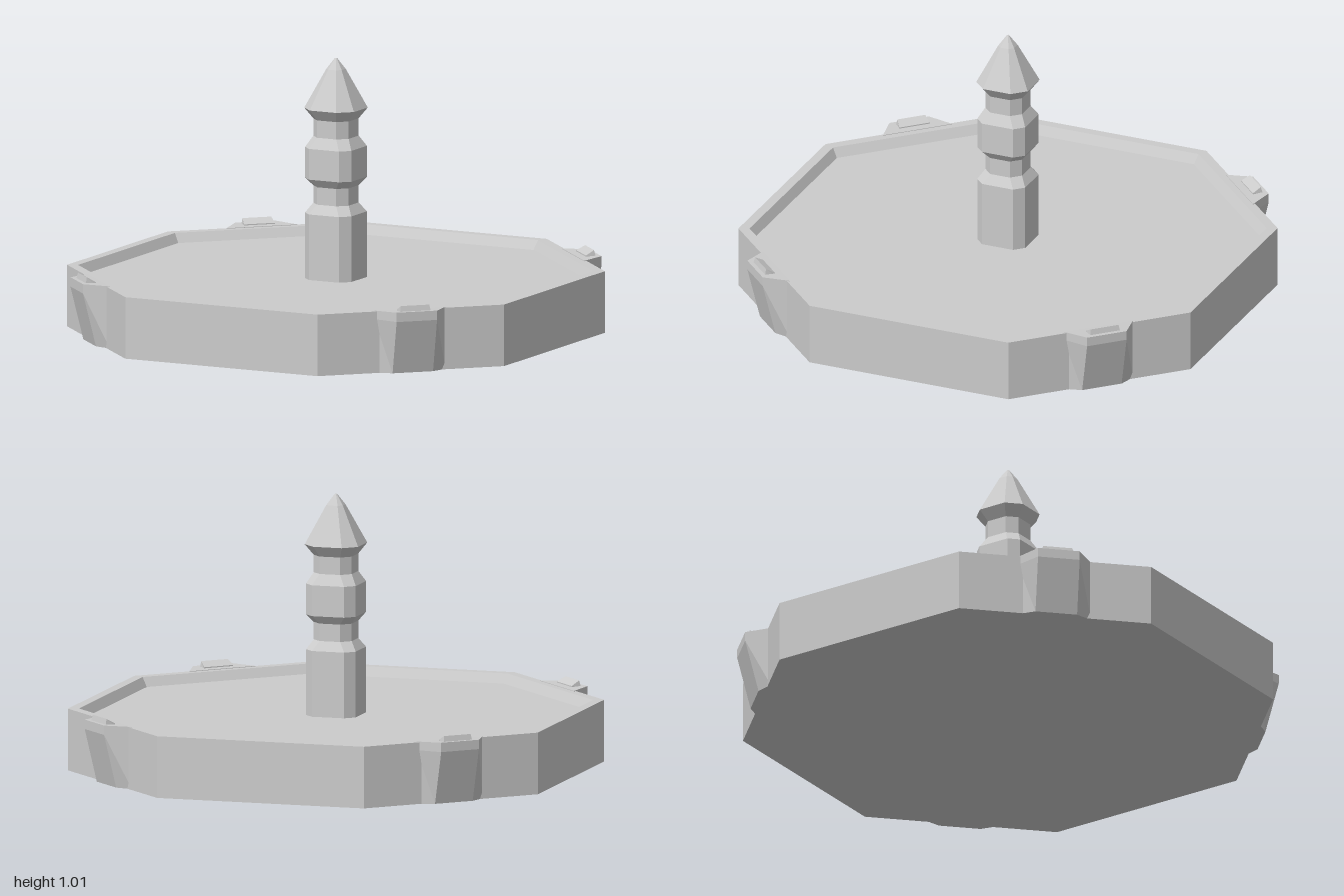
import * as THREE from 'three';

const material = new THREE.MeshStandardMaterial({ color: 0xcccccc, flatShading: true });

// Closed solid through rings of [x, y, z] corners, capped at both ends
function loft(name, rings) {
  const pos = [];
  const tri = (a, b, c) => pos.push(...a, ...b, ...c);
  const n = rings[0].length;
  for (let i = 0; i < rings.length - 1; i++) {
    for (let j = 0; j < n; j++) {
      const k = (j + 1) % n;
      const lo = rings[i], hi = rings[i + 1];
      tri(lo[j], hi[j], hi[k]);
      tri(lo[j], hi[k], lo[k]);
    }
  }
  const first = rings[0], last = rings[rings.length - 1];
  for (let j = 1; j < n - 1; j++) {
    tri(first[0], first[j], first[j + 1]);
    tri(last[0], last[j + 1], last[j]);
  }
  const geometry = new THREE.BufferGeometry();
  geometry.setAttribute('position', new THREE.Float32BufferAttribute(pos, 3));
  geometry.computeVertexNormals();
  const mesh = new THREE.Mesh(geometry, material);
  mesh.name = name;
  return mesh;
}

// Eight-sided ring: reach r along the axes, half width c of the axis-facing sides
const octagon = ([y, r, c]) => [
  [r, -c], [r, c], [c, r], [-c, r], [-r, c], [-r, -c], [-c, -r], [c, -r],
].map(([x, z]) => [x, y, z]);

// Four-cornered ring facing +z: back half width and z, front half width and z
const trapezoid = (yBack, wBack, zBack, yFront, wFront, zFront) => [
  [wBack, yBack, zBack], [wFront, yFront, zFront],
  [-wFront, yFront, zFront], [-wBack, yBack, zBack],
];

export function createModel() {
  const model = new THREE.Group();
  model.name = 'fountain';

  // Basin: outer wall, rim, sloped inner wall and floor
  model.add(loft('basin', [
    [0, 0.925, 0.36], [0.23, 0.925, 0.36], [0.23, 0.887, 0.345], [0.195, 0.867, 0.338],
  ].map(octagon)));

  // Central column with two waists and a pointed cap
  model.add(loft('column', [
    [0.18, 0.112, 0.024], [0.44, 0.112, 0.024], [0.475, 0.08, 0.024],
    [0.54, 0.08, 0.024], [0.57, 0.112, 0.024], [0.685, 0.112, 0.024],
    [0.725, 0.08, 0.024], [0.79, 0.08, 0.024], [0.83, 0.112, 0.034],
    [0.975, 0.034, 0.011], [1.015, 0.004, 0.002],
  ].map(octagon)));

  // Buttress with a small raised lip on each of the four axis-facing sides
  for (let i = 0; i < 4; i++) {
    const spout = new THREE.Group();
    spout.name = 'spout' + (i + 1);
    spout.add(loft('buttress', [
      trapezoid(0, 0.137, 0.915, 0, 0.078, 0.95),
      trapezoid(0.2, 0.137, 0.915, 0.2, 0.078, 1),
      trapezoid(0.232, 0.137, 0.915, 0.235, 0.078, 1),
    ]));
    spout.add(loft('lip', [
      trapezoid(0.225, 0.06, 0.945, 0.225, 0.06, 0.985),
      trapezoid(0.237, 0.06, 0.945, 0.255, 0.055, 0.978),
    ]));
    spout.rotation.y = i * Math.PI / 2;
    model.add(spout);
  }

  return model;
}
